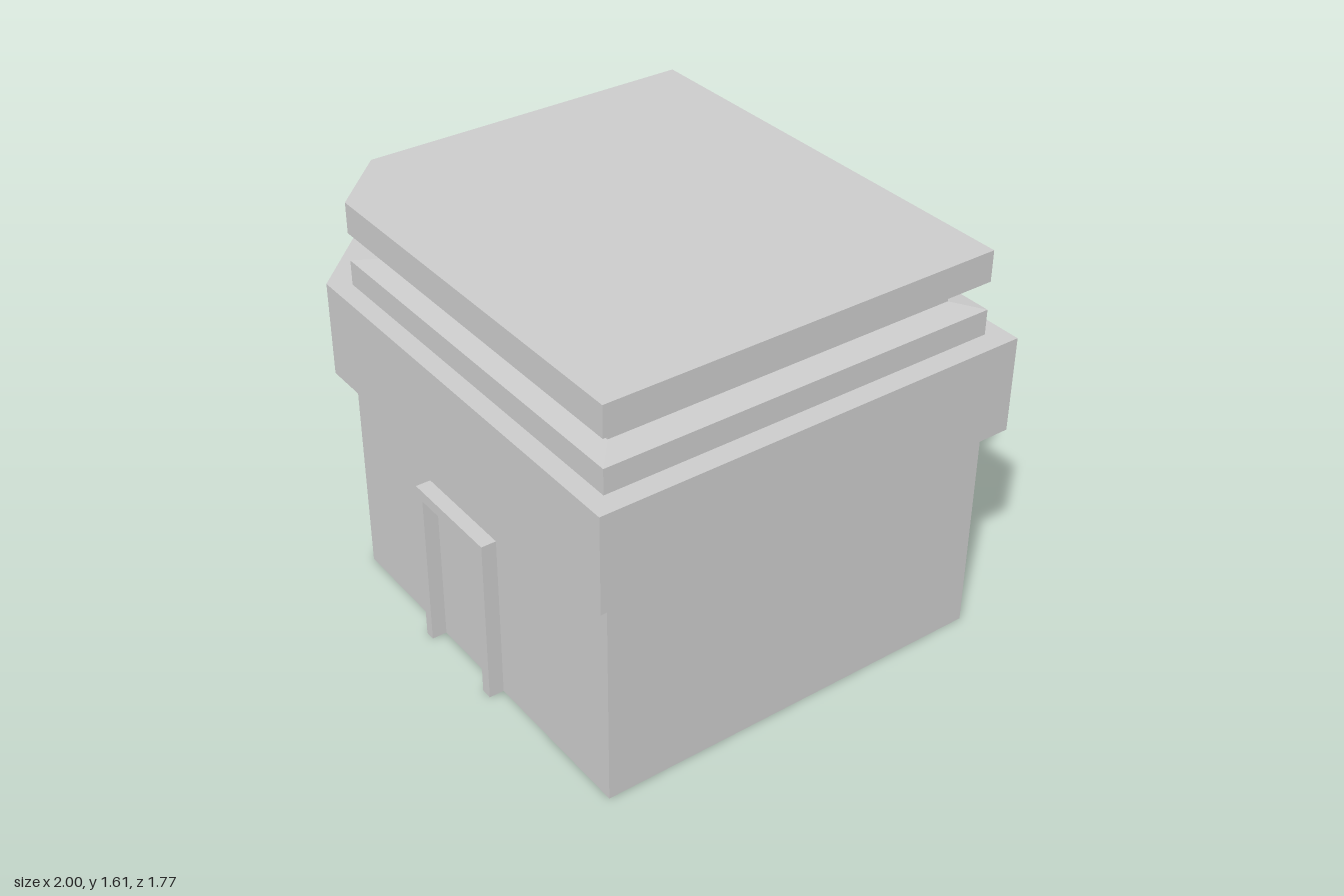
import * as THREE from 'three';

const material = new THREE.MeshStandardMaterial({ color: 0xcccccc, flatShading: true });
const thinMaterial = new THREE.MeshStandardMaterial({ color: 0xcccccc, flatShading: true, side: THREE.DoubleSide });

// Rectangular plan with the front corner at -x cut off at 45 degrees
function plan(x0, x1, z, cut) {
  return [[x0 + cut, z], [x1, z], [x1, -z], [x0, -z], [x0, z - cut]];
}

// Skin over a list of [plan, height] levels, with optional flat ends
function loft(name, levels, { startCap = false, endCap = false, mat = material } = {}) {
  const pos = [];
  const rings = levels.map(([p, y]) => p.map(([x, z]) => [x, y, z]));
  const tri = (a, b, c) => pos.push(...a, ...b, ...c);
  for (let i = 0; i < rings.length - 1; i++) {
    const lo = rings[i], hi = rings[i + 1];
    lo.forEach((a, j) => {
      const k = (j + 1) % lo.length;
      tri(a, lo[k], hi[k]);
      tri(a, hi[k], hi[j]);
    });
  }
  const first = rings[0], last = rings[rings.length - 1];
  for (let j = 1; j < first.length - 1; j++) {
    if (startCap) tri(first[0], first[j + 1], first[j]);
    if (endCap) tri(last[0], last[j], last[j + 1]);
  }
  const geo = new THREE.BufferGeometry();
  geo.setAttribute('position', new THREE.Float32BufferAttribute(pos, 3));
  geo.computeVertexNormals();
  const mesh = new THREE.Mesh(geo, mat);
  mesh.name = name;
  return mesh;
}

export function createModel() {
  const group = new THREE.Group();
  group.name = 'building';

  const wall = plan(-0.86, 0.94, 0.82, 0.16);
  const storey = plan(-1, 1, 0.885, 0.26);
  const slab = plan(-0.92, 0.915, 0.81, 0.24);
  const neck = plan(-0.81, 0.81, 0.72, 0.21);

  // Ground floor walls, hollow and open underneath
  group.add(loft('groundFloorWalls', [[wall, 0], [wall, 0.885]], { mat: thinMaterial }));

  // Overhanging storey: recessed ceiling, soffit, outer walls and top ledge
  group.add(loft('upperStorey', [
    [neck, 1.1], [neck, 0.885], [storey, 0.885], [storey, 1.27], [slab, 1.27],
  ], { startCap: true }));

  // Stepped band, recessed neck and roof slab
  group.add(loft('roofBand', [[slab, 1.27], [slab, 1.37], [neck, 1.385]]));
  group.add(loft('roofNeck', [[neck, 1.385], [neck, 1.465]]));
  group.add(loft('roofSlab', [[neck, 1.465], [slab, 1.482], [slab, 1.605]], { endCap: true }));

  // Door frame passing through the front wall
  const frame = new THREE.Shape([
    [-0.18, 0], [-0.14, 0], [-0.14, 0.645], [0.22, 0.645],
    [0.22, 0], [0.265, 0], [0.265, 0.69], [-0.18, 0.69],
  ].map(([x, y]) => new THREE.Vector2(x, y)));
  const doorFrame = new THREE.Mesh(
    new THREE.ExtrudeGeometry(frame, { depth: 0.1, bevelEnabled: false }), material);
  doorFrame.position.z = 0.78;
  doorFrame.name = 'doorFrame';
  group.add(doorFrame);

  return group;
}
